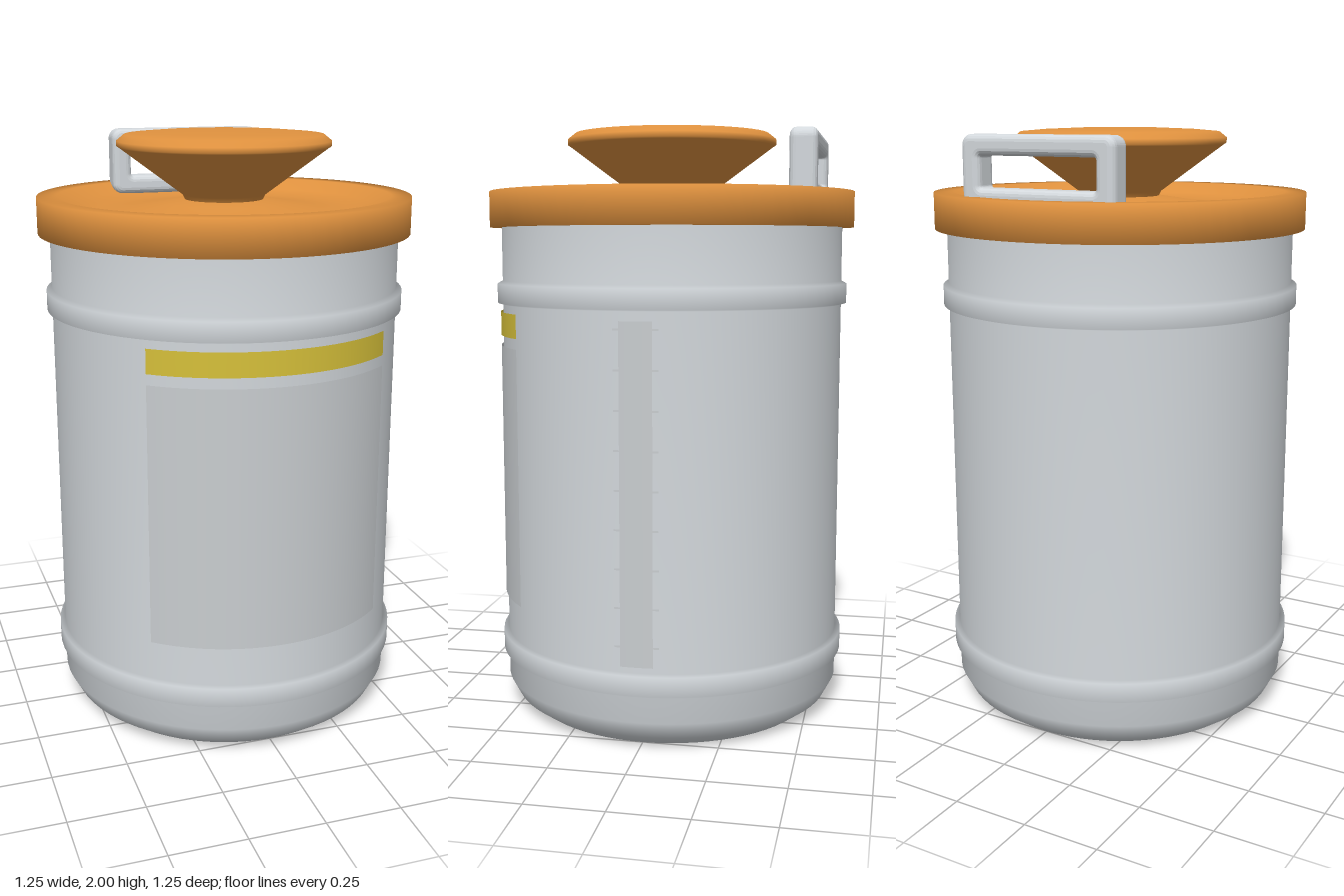
import * as THREE from 'three';

export function createModel() {
  const group = new THREE.Group();
  const mat = (name, color, side = THREE.FrontSide) => {
    const m = new THREE.MeshStandardMaterial({ color, side });
    m.name = name;
    return m;
  };
  const shell = mat('pale grey plastic', 0xd3d8dc);
  const orange = mat('orange plastic', 0xe0923f);
  const paper = mat('label grey', 0xc9cdd0, THREE.DoubleSide);
  const yellow = mat('label yellow', 0xd6c03a, THREE.DoubleSide);

  const add = (name, geometry, material) => {
    const mesh = new THREE.Mesh(geometry, material);
    mesh.name = name;
    group.add(mesh);
    return mesh;
  };
  const lathe = (name, pts, material) =>
    add(name, new THREE.LatheGeometry(pts.map(([r, y]) => new THREE.Vector2(r, y)), 72), material);

  // Curved plate hugging the body, centred on an angle measured from the front
  const plate = (name, radius, y0, y1, halfWidth, angle, material, segments = 20) => {
    const half = Math.asin(halfWidth / radius);
    const geo = new THREE.CylinderGeometry(radius, radius, y1 - y0, segments, 1, true, angle - half, 2 * half);
    geo.translate(0, (y0 + y1) / 2, 0);
    return add(name, geo, material);
  };

  // Container body with two raised hoops
  lathe('body', [
    [0, 0], [0.5, 0], [0.555, 0.04], [0.587, 0.1], [0.587, 0.185],
    [0.605, 0.195], [0.605, 0.26], [0.587, 0.265],
    [0.587, 1.41], [0.605, 1.415], [0.605, 1.48], [0.587, 1.49], [0.587, 1.69],
  ], shell);

  // Lid with a rim and a dished top
  lathe('lid', [
    [0.56, 1.67], [0.627, 1.67], [0.627, 1.79], [0.56, 1.79],
    [0.51, 1.755], [0.43, 1.74], [0.32, 1.745], [0.2, 1.765], [0.1, 1.78], [0, 1.78],
  ], orange);

  // Flared knob with a shallow domed top
  lathe('knob', [
    [0.13, 1.77], [0.14, 1.79], [0.35, 1.945], [0.358, 1.95], [0.358, 1.967],
    [0.333, 1.987], [0.25, 1.994], [0.12, 1.999], [0, 2.0],
  ], orange);

  // Carrying loop at the back of the lid
  const roundedRect = (path, w, h, r) => {
    const x = w / 2, y = h / 2;
    path.moveTo(-x + r, -y);
    path.lineTo(x - r, -y);
    path.absarc(x - r, -y + r, r, -Math.PI / 2, 0);
    path.lineTo(x, y - r);
    path.absarc(x - r, y - r, r, 0, Math.PI / 2);
    path.lineTo(-x + r, y);
    path.absarc(-x + r, y - r, r, Math.PI / 2, Math.PI);
    path.lineTo(-x, -y + r);
    path.absarc(-x + r, -y + r, r, Math.PI, Math.PI * 1.5);
    return path;
  };
  const bevel = 0.022;
  const frame = roundedRect(new THREE.Shape(), 0.556 - 2 * bevel, 0.23 - 2 * bevel, 0.012);
  frame.holes.push(roundedRect(new THREE.Path(), 0.42 + 2 * bevel, 0.1 + 2 * bevel, 0.03));
  const loop = add('carryLoop', new THREE.ExtrudeGeometry(frame, {
    depth: 0.09 - 2 * bevel, bevelEnabled: true, bevelThickness: bevel, bevelSize: bevel,
    bevelSegments: 4, curveSegments: 5,
  }), shell);
  loop.position.set(0, 1.867, -0.52 + bevel);

  // Front label: plain panel with a coloured band above
  plate('labelPanel', 0.595, 0.4, 1.27, 0.397, 0, paper);
  plate('labelBand', 0.595, 1.305, 1.385, 0.397, 0, yellow);

  // Level gauge on the left side with graduation marks
  plate('gaugeStrip', 0.592, 0.285, 1.38, 0.053, Math.PI / 2, paper, 4);
  for (let i = 0; i < 9; i++) {
    const y = 0.35 + i * 0.1256;
    plate('gaugeMark', 0.5905, y - 0.003, y + 0.003, 0.072, Math.PI / 2, paper, 4);
  }

  return group;
}
